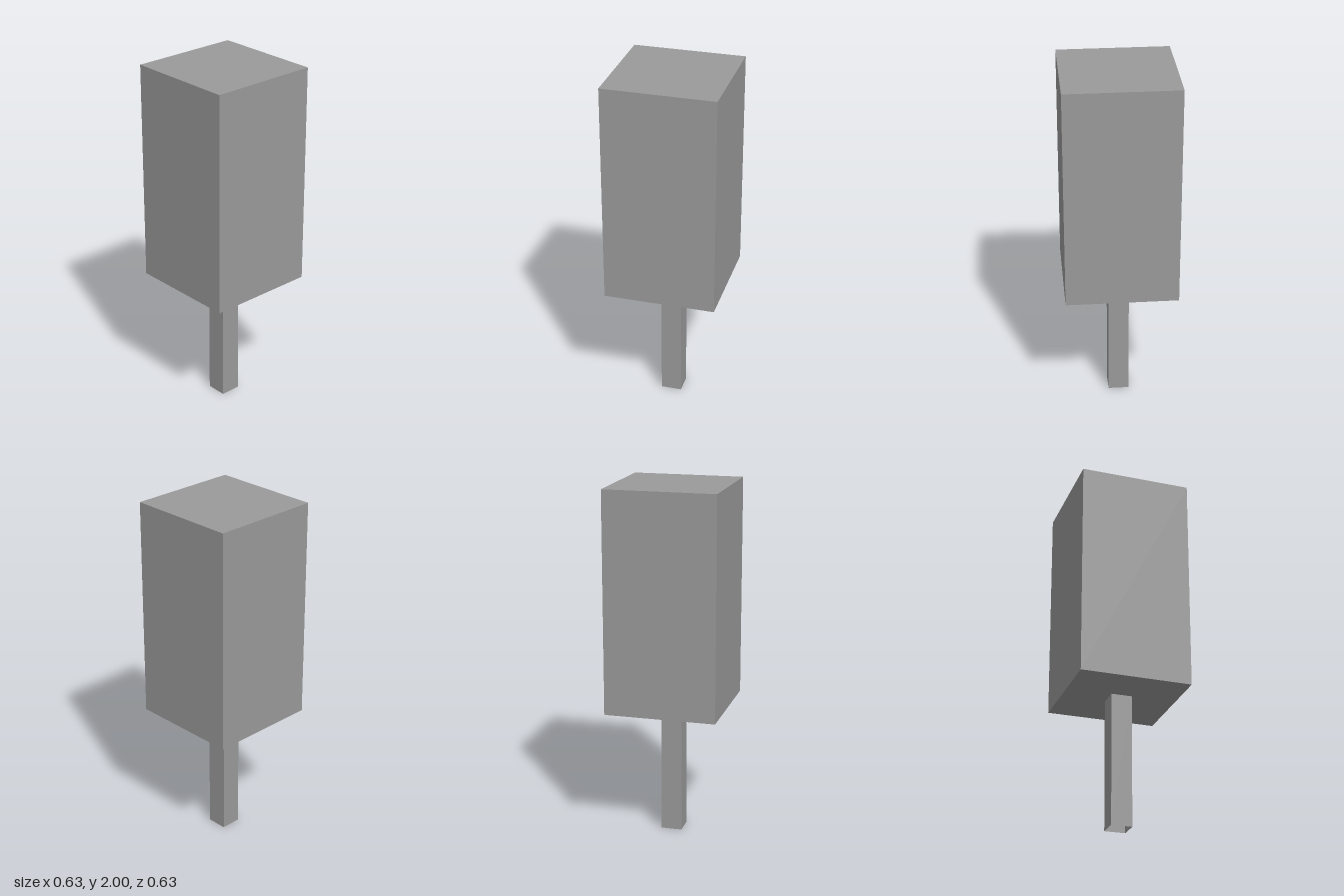
import * as THREE from 'three';

const CROWN_WIDTH = 0.628, TRUNK_WIDTH = 0.118;
const TRUNK_TOP = 0.75, TOP = 2;
const GREY = 0x9a9a9a;

export function createModel() {
  const model = new THREE.Group();
  model.name = 'blockTree';

  // Crown: a closed tall block
  const crownHeight = TOP - TRUNK_TOP;
  const crown = new THREE.Mesh(
    new THREE.BoxGeometry(CROWN_WIDTH, crownHeight, CROWN_WIDTH),
    new THREE.MeshStandardMaterial({ color: GREY, flatShading: true })
  );
  crown.name = 'crown';
  crown.position.y = TRUNK_TOP + crownHeight / 2;

  // Trunk: a square tube, open at the foot
  const trunkRadius = TRUNK_WIDTH * Math.SQRT1_2;
  const trunk = new THREE.Mesh(
    new THREE.CylinderGeometry(trunkRadius, trunkRadius, TRUNK_TOP, 4, 1, true).rotateY(Math.PI / 4),
    new THREE.MeshStandardMaterial({ color: GREY, flatShading: true, side: THREE.DoubleSide })
  );
  trunk.name = 'trunk';
  trunk.position.y = TRUNK_TOP / 2;

  model.add(crown, trunk);
  return model;
}
